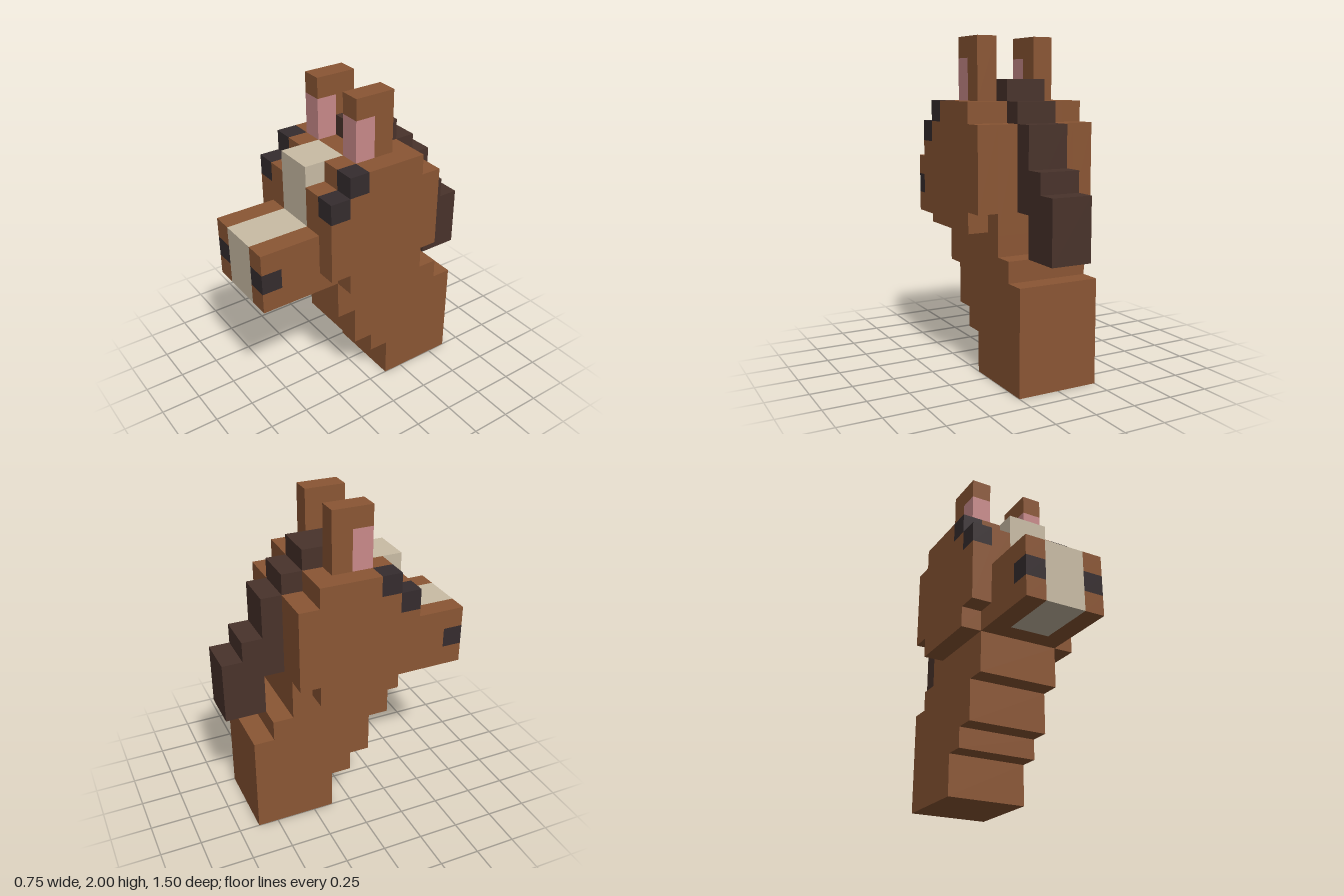
import * as THREE from 'three';

const U = 0.125; // one block

const material = (name, color) => {
  const m = new THREE.MeshStandardMaterial({ color });
  m.name = name;
  return m;
};

export function createModel() {
  const coat = material('chestnut coat', 0x8b5634);
  const hair = material('dark mane', 0x49332b);
  const blaze = material('cream blaze', 0xc9bca5);
  const dark = material('near black', 0x352c2e);
  const pink = material('ear pink', 0xc98a8a);
  const model = new THREE.Group();
  model.name = 'horseHead';

  // Side profile given as [z, y] block corners, extruded from x0 to x1
  const slab = (name, mat, x0, x1, profile) => {
    const shape = new THREE.Shape(profile.map(([z, y]) => new THREE.Vector2(z * U, y * U)));
    const geo = new THREE.ExtrudeGeometry(shape, { depth: (x1 - x0) * U, bevelEnabled: false });
    geo.rotateY(-Math.PI / 2).translate(x1 * U, 0, 0);
    const mesh = new THREE.Mesh(geo, mat);
    mesh.name = name;
    model.add(mesh);
  };

  // Block filling the given x, y and z ranges
  const block = (name, mat, [x0, x1], [y0, y1], [z0, z1]) => {
    const geo = new THREE.BoxGeometry((x1 - x0) * U, (y1 - y0) * U, (z1 - z0) * U);
    geo.translate((x0 + x1) / 2 * U, (y0 + y1) / 2 * U, (z0 + z1) / 2 * U);
    const mesh = new THREE.Mesh(geo, mat);
    mesh.name = name;
    model.add(mesh);
  };

  // Stepped neck
  slab('neck', coat, -2, 2, [
    [-5, 0], [-1, 0], [-1, 2], [0, 2], [0, 3], [1, 3], [1, 5], [2, 5], [2, 7],
    [-3, 7], [-3, 6], [-4, 6], [-4, 5], [-5, 5],
  ]);

  // Middle of the skull, behind the blaze
  slab('skull', coat, -1, 1, [
    [-3, 7], [3, 7], [3, 10], [2, 10], [2, 12], [1, 12], [1, 13], [-2, 13], [-2, 12], [-3, 12],
  ]);

  // Blaze down the forehead and along the muzzle
  slab('foreheadBlaze', blaze, -1, 1, [[2, 10], [3, 10], [3, 13], [1, 13], [1, 12], [2, 12]]);
  block('muzzleBlaze', blaze, [-1, 1], [7, 10], [3, 6]);

  // Mirrored halves of the face
  for (const [side, s] of [['left', 1], ['right', -1]]) {
    const span = (a, b) => (s > 0 ? [a, b] : [-b, -a]);
    const inner = span(1, 2);
    const outer = span(2, 3);

    // Temple and muzzle side, notched for the nostril
    slab(side + 'MuzzleSide', coat, ...inner, [
      [-3, 7], [6, 7], [6, 8], [5, 8], [5, 9], [6, 9], [6, 10], [3, 10],
      [3, 12], [2, 12], [2, 13], [-2, 13], [-2, 12], [-3, 12],
    ]);
    block(side + 'Nostril', dark, inner, [8, 9], [5, 6]);

    // Cheek, notched for the eye
    slab(side + 'Cheek', coat, ...outer, [
      [-2, 7], [2, 7], [2, 8], [3, 8], [3, 11], [2, 11], [2, 12], [1, 12],
      [1, 13], [-2, 13], [-2, 12], [-3, 12], [-3, 8], [-2, 8],
    ]);
    block(side + 'LowerEye', dark, outer, [11, 12], [2, 3]);
    block(side + 'UpperEye', dark, outer, [12, 13], [1, 2]);

    // Ear with pink front
    slab(side + 'Ear', coat, ...inner, [[-1, 13], [0, 13], [0, 15], [1, 15], [1, 16], [-1, 16]]);
    block(side + 'InnerEar', pink, inner, [13, 15], [0, 1]);
  }

  // Mane stepping down the back: y range, z range
  const mane = [
    [[13, 14], [-2, 0]],
    [[12, 13], [-3, -2]],
    [[8, 12], [-4, -3]],
    [[6, 10], [-5, -4]],
    [[6, 9], [-6, -5]],
  ];
  mane.forEach(([y, z], i) => block('mane' + (i + 1), hair, [-1, 1], y, z));

  return model;
}
